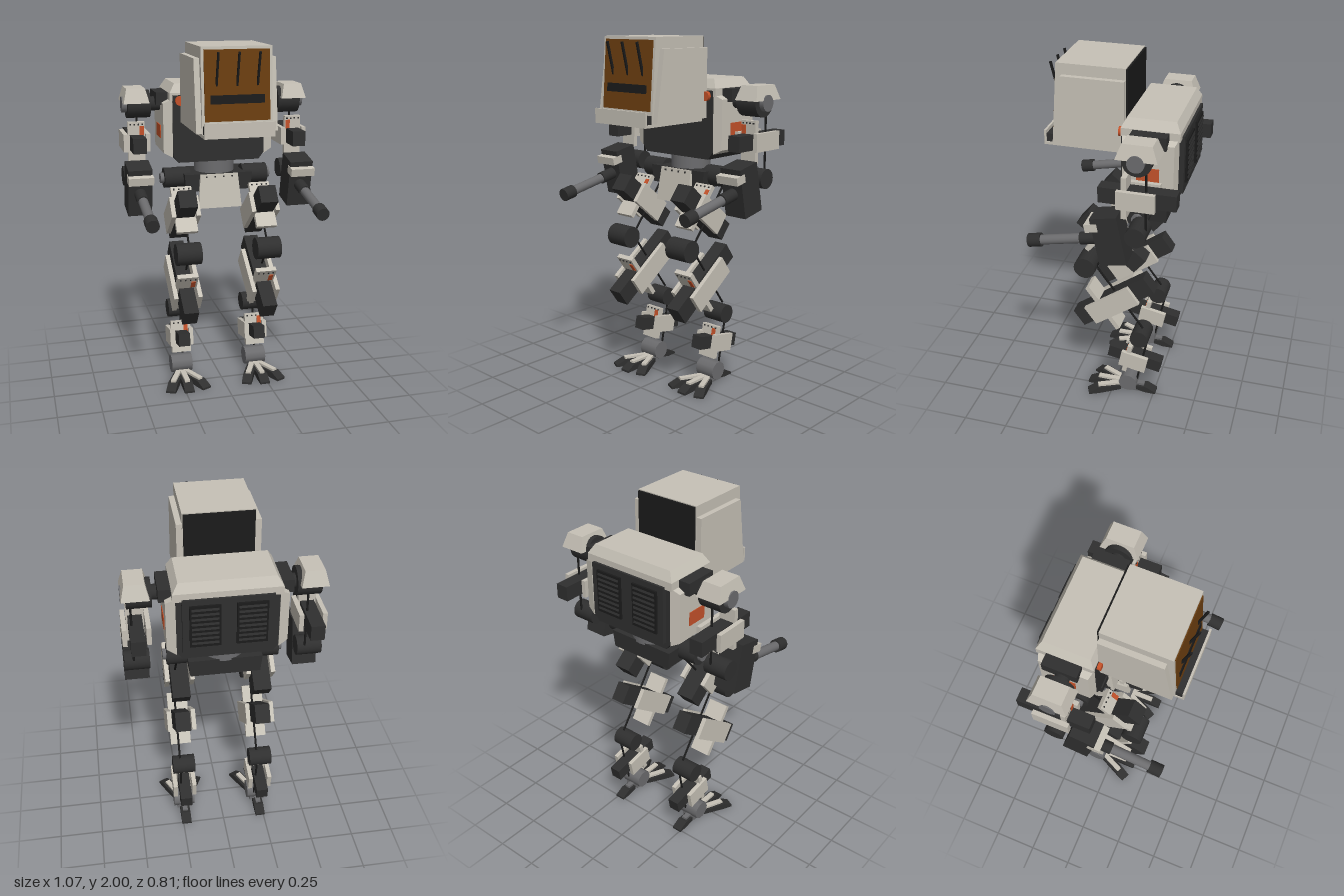
import * as THREE from 'three';

const mat = (name, color) => Object.assign(new THREE.MeshStandardMaterial({ color }), { name });

export function createModel() {
  const root = new THREE.Group();
  root.name = 'walker';
  const shell = mat('shellBeige', 0xc6c1b6);
  const dark = mat('charcoal', 0x2f2f2f);
  const black = mat('black', 0x1b1b1b);
  const grey = mat('steelGrey', 0x6c6c6e);
  const orange = mat('orange', 0xc4522a);
  const glass = mat('amberGlass', 0x6b3e10);

  const add = (parent, name, geo, m, x = 0, y = 0, z = 0, rx = 0, ry = 0, rz = 0) => {
    const mesh = new THREE.Mesh(geo, m);
    mesh.name = name;
    mesh.position.set(x, y, z);
    mesh.rotation.set(rx, ry, rz);
    parent.add(mesh);
    return mesh;
  };
  const box = (w, h, d) => new THREE.BoxGeometry(w, h, d);
  // Box whose top face is scaled, for chamfered armour
  const taper = (w, h, d, sx, sz) => {
    const g = box(w, h, d), p = g.attributes.position;
    for (let i = 0; i < p.count; i++)
      if (p.getY(i) > 0) p.setXYZ(i, p.getX(i) * sx, p.getY(i), p.getZ(i) * sz);
    g.computeVertexNormals();
    return g;
  };
  // Cylinder lying along x
  const drum = (r, len, n = 20) => new THREE.CylinderGeometry(r, r, len, n).rotateZ(Math.PI / 2);
  // Side profile of [z, y] points, extruded across x and centred
  const profile = (pts, width) => new THREE.ExtrudeGeometry(
    new THREE.Shape(pts.map(([z, y]) => new THREE.Vector2(-z, y))),
    { depth: width, bevelEnabled: false }).translate(0, 0, -width / 2).rotateY(Math.PI / 2);

  // Limb: crossbar, side plates, front plate and thin rod between two joints [y, z]
  const limb = (name, x, a, b, o) => {
    const g = new THREE.Group();
    g.name = name;
    g.position.set(x, (a[0] + b[0]) / 2, (a[1] + b[1]) / 2);
    g.rotation.x = Math.atan2(a[1] - b[1], a[0] - b[0]);
    root.add(g);
    add(g, 'crossbar', box(o.barW, o.barH, o.barL), dark);
    for (const s of [-1, 1])
      add(g, 'sidePlate', box(0.025, o.sideH, o.sideL), shell, s * o.sideX, 0, 0);
    add(g, 'frontPlate', box(o.plateW, o.plateH, 0.027), shell, 0, 0, o.plateZ);
    const face = o.plateZ + 0.015;
    add(g, 'marking', box(0.025, 0.05, 0.006), orange, o.markX, o.plateH * 0.29, face);
    for (let i = -1.5; i <= 1.5; i++)
      add(g, 'rivet', box(0.008, 0.008, 0.006), dark, i * o.plateW * 0.24, o.plateH * 0.44, face);
    add(g, 'rod', new THREE.CylinderGeometry(0.006, 0.006, o.rodL, 8), black, 0.022, 0, -0.045);
    return g;
  };

  // Cab
  const cab = new THREE.Group();
  cab.name = 'cab';
  root.add(cab);
  add(cab, 'cabBody', profile([[-0.06, 1.55], [0.34, 1.55], [0.34, 1.6], [0.31, 2], [-0.06, 2]], 0.38), shell);
  add(cab, 'cabFloor', box(0.38, 0.016, 0.45), shell, 0, 1.548, 0.165);
  add(cab, 'chinPlate', box(0.38, 0.08, 0.012), shell, 0, 1.58, 0.384);
  add(cab, 'chinFiller', box(0.37, 0.045, 0.04), dark, 0, 1.578, 0.359);
  for (const s of [-1, 1])
    add(cab, 'cabSidePlate', profile([[-0.058, 1.56], [0.335, 1.56], [0.28, 1.94], [-0.058, 1.94]], 0.03), shell, s * 0.205);
  add(cab, 'cabBackPanel', box(0.37, 0.44, 0.012), black, 0, 1.775, -0.064);
  const lean = -0.075;
  add(cab, 'windscreen', box(0.35, 0.365, 0.008), glass, 0, 1.803, 0.326, lean);
  add(cab, 'visorSlot', box(0.29, 0.045, 0.014), black, 0, 1.733, 0.333, lean);
  for (const x of [-0.11, 0, 0.11])
    add(cab, 'windscreenBar', box(0.01, 0.19, 0.012), black, x, 1.882, 0.344, 0.24);

  // Torso
  const torso = new THREE.Group();
  torso.name = 'torso';
  root.add(torso);
  const hull = new THREE.Shape([[-0.265, 1.71], [-0.265, 1.37], [-0.235, 1.33], [0.235, 1.33], [0.265, 1.37], [0.265, 1.71]]
    .map(([x, y]) => new THREE.Vector2(x, y)));
  add(torso, 'torsoHull', new THREE.ExtrudeGeometry(hull, { depth: 0.3, bevelEnabled: false }), dark, 0, 0, -0.355);
  add(torso, 'roofBase', box(0.56, 0.045, 0.31), shell, 0, 1.7, -0.212);
  add(torso, 'roof', taper(0.56, 0.05, 0.31, 0.89, 0.83), shell, 0, 1.7475, -0.212);
  for (const s of [-1, 1]) {
    add(torso, 'sidePanel', taper(0.33, 0.05, 0.3, 0.84, 0.9), shell, s * 0.29, 1.525, -0.21, 0, 0, -s * Math.PI / 2);
    add(torso, 'sideMarking', box(0.006, 0.075, 0.12), orange, s * 0.316, 1.495, -0.21);
    add(torso, 'shoulderMount', box(0.07, 0.07, 0.19), dark, s * 0.31, 1.685, -0.215);
    add(torso, 'shoulderAxle', drum(0.04, 0.1), dark, s * 0.35, 1.65, -0.2);
    add(torso, 'frontLamp', new THREE.CylinderGeometry(0.026, 0.026, 0.03, 16), orange, s * 0.225, 1.68, -0.05, Math.PI / 2);
    // Back vents with slats
    add(torso, 'ventFrame', box(0.16, 0.24, 0.012), black, s * 0.12, 1.54, -0.386);
    for (let i = 0; i < 8; i++)
      add(torso, 'ventSlat', box(0.14, 0.012, 0.01), dark, s * 0.12, 1.443 + i * 0.028, -0.391, 0.3);
  }
  add(torso, 'backPanel', box(0.47, 0.32, 0.025), dark, 0, 1.53, -0.368);

  // Pelvis
  const pelvis = new THREE.Group();
  pelvis.name = 'pelvis';
  root.add(pelvis);
  add(pelvis, 'waist', new THREE.CylinderGeometry(0.115, 0.115, 0.1, 24), grey, 0, 1.295, -0.18);
  add(pelvis, 'pelvisBlock', taper(0.38, 0.1, 0.22, 1.05, 1.05), dark, 0, 1.205, -0.175);
  add(pelvis, 'frontSkirt', taper(0.255, 0.195, 0.02, 0.86, 1), shell, 0, 1.157, -0.045, -0.12);
  for (let i = -1.5; i <= 1.5; i++)
    add(pelvis, 'skirtRivet', box(0.01, 0.01, 0.006), dark, i * 0.05, 1.24, -0.044, -0.12);

  for (const s of [-1, 1]) {
    const side = s > 0 ? 'left' : 'right';

    // Arm
    const ax = s * 0.46;
    add(root, side + 'Pauldron', taper(0.145, 0.08, 0.215, 0.72, 0.72), shell, s * 0.457, 1.705, -0.203);
    add(root, side + 'ShoulderDrum', drum(0.078, 0.13), dark, s * 0.438, 1.65, -0.2);
    add(root, side + 'ShoulderCap', drum(0.045, 0.03), grey, s * 0.515, 1.65, -0.2);
    limb(side + 'UpperArm', ax, [1.65, -0.2], [1.24, -0.2], {
      barW: 0.075, barH: 0.085, barL: 0.405, sideH: 0.1, sideL: 0.2, sideX: 0.0625,
      plateW: 0.095, plateH: 0.23, plateZ: 0.065, markX: -s * 0.03, rodL: 0.36 });
    add(root, side + 'Elbow', drum(0.055, 0.135), dark, ax + s * 0.005, 1.24, -0.2);
    const gun = new THREE.Group();
    gun.name = side + 'Forearm';
    gun.position.set(s * 0.467, 1.197, -0.06);
    gun.rotation.x = 0.2;
    root.add(gun);
    add(gun, 'forearmBlock', box(0.135, 0.275, 0.145), dark);
    add(gun, 'forearmBand', box(0.14, 0.045, 0.07), shell, 0, 0.085, 0.075);
    add(gun, 'barrelCollar', new THREE.CylinderGeometry(0.034, 0.034, 0.1, 16), dark, 0, -0.005, 0.12, Math.PI / 2);
    add(gun, 'barrel', new THREE.CylinderGeometry(0.027, 0.027, 0.36, 16), grey, 0, -0.005, 0.25, Math.PI / 2);
    add(gun, 'muzzle', new THREE.CylinderGeometry(0.037, 0.037, 0.072, 16), dark, 0, -0.005, 0.431, Math.PI / 2);

    // Leg joints [y, z] and segments
    const lx = s * 0.23;
    const hip = [1.225, -0.155], knee = [0.855, 0.15], hock = [0.415, -0.167], ankle = [0.08, -0.1];
    add(root, side + 'HipDrum', drum(0.058, 0.15), dark, lx, ...hip);
    add(root, side + 'HipCap', drum(0.03, 0.19), grey, lx, ...hip);
    add(root, side + 'KneeDrum', drum(0.062, 0.14), dark, lx, ...knee);
    add(root, side + 'HockDrum', drum(0.054, 0.13), dark, lx, ...hock);
    add(root, side + 'AnkleDrum', drum(0.055, 0.125, 10), grey, lx, ...ankle);
    limb(side + 'Thigh', lx, hip, knee, {
      barW: 0.1, barH: 0.105, barL: 0.42, sideH: 0.125, sideL: 0.23, sideX: 0.07,
      plateW: 0.12, plateH: 0.28, plateZ: 0.065, markX: 0.045, rodL: 0.42 });
    limb(side + 'Shin', lx, knee, hock, {
      barW: 0.085, barH: 0.11, barL: 0.51, sideH: 0.12, sideL: 0.31, sideX: 0.07,
      plateW: 0.12, plateH: 0.31, plateZ: 0.07, markX: 0.035, rodL: 0.46 });
    limb(side + 'LowerLeg', lx, hock, ankle, {
      barW: 0.068, barH: 0.075, barL: 0.32, sideH: 0.1, sideL: 0.16, sideX: 0.057,
      plateW: 0.115, plateH: 0.19, plateZ: 0.04, markX: 0.03, rodL: 0.3 });

    // Foot: three splayed toes and a heel
    const foot = new THREE.Group();
    foot.name = side + 'Foot';
    foot.position.set(lx, 0, -0.1);
    root.add(foot);
    add(foot, 'footBlock', box(0.09, 0.05, 0.09), grey, 0, 0.05, 0);
    for (const yaw of [-0.44, 0, 0.44, Math.PI]) {
      const toe = new THREE.Group();
      toe.name = yaw > 3 ? 'heel' : 'toe';
      toe.rotation.y = yaw;
      foot.add(toe);
      const [z0, z1] = yaw > 3 ? [0.045, 0.162] : [0.06, 0.255];
      const pad = [[z0, 0.012], [z1 - 0.06, 0], [z1, 0], [z1, 0.012], [z1 - 0.055, 0.04], [z0, 0.036]];
      add(toe, 'toePad', profile(pad, 0.058), dark);
      const len = yaw > 3 ? 0.08 : 0.185;
      add(toe, 'toeStrip', box(0.03, 0.014, len), yaw > 3 ? grey : shell, 0, 0.045, len / 2 + 0.01);
    }
  }
  return root;
}
